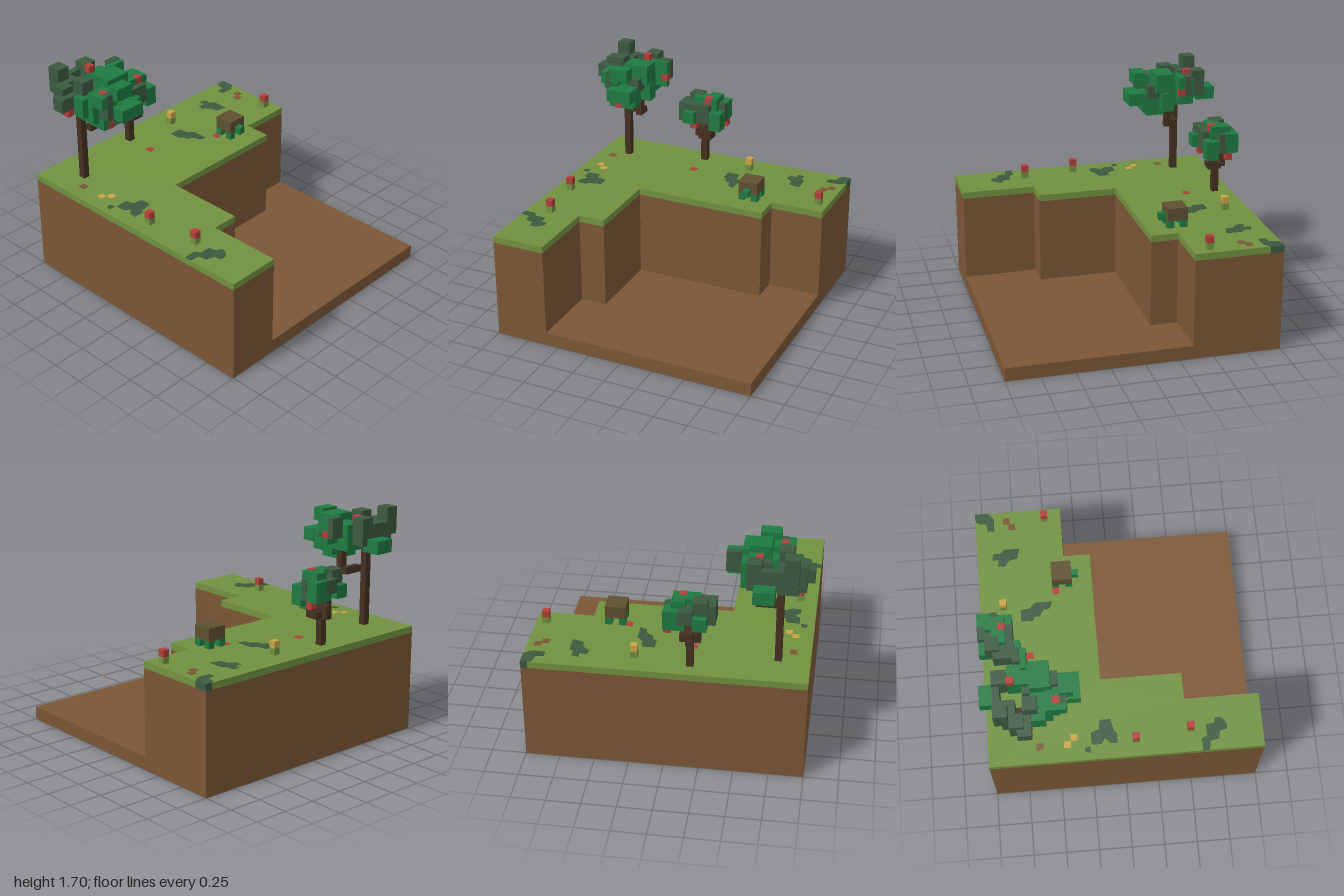
import * as THREE from 'three';

const mat = (name, color) => Object.assign(new THREE.MeshStandardMaterial({ color }), { name });

export function createModel() {
  const root = new THREE.Group();
  root.name = 'blockLandscape';
  const grass = mat('grass green', 0x70913f), dirt = mat('dirt brown', 0x7b5635);
  const bark = mat('bark', 0x453020), shell = mat('shell brown', 0x5e5030);
  const leaf = mat('leaf green', 0x1f7a42), dark = mat('dark green', 0x3b5a40);
  const red = mat('red', 0xb23e3a), yellow = mat('yellow', 0xc8a445);
  const U = 0.05; // block unit

  const group = (name) => {
    const g = new THREE.Group();
    g.name = name;
    root.add(g);
    return g;
  };
  // Box from its minimum corner and size, in block units
  const block = (parent, name, material, [x, y, z, w, h, d], inset = 0) => {
    const m = new THREE.Mesh(
      new THREE.BoxGeometry(w * U - 2 * inset, h * U - 2 * inset, d * U - 2 * inset), material);
    m.position.set((x + w / 2) * U, (y + h / 2) * U, (z + d / 2) * U);
    m.name = name;
    parent.add(m);
  };
  // Outline given as [x, z] pairs, raised from y by a height
  const slab = (parent, name, material, pts, y, height) => {
    const shape = new THREE.Shape(pts.map(([x, z]) => new THREE.Vector2(x, -z)));
    const geo = new THREE.ExtrudeGeometry(shape, { depth: height, bevelEnabled: false });
    geo.rotateX(-Math.PI / 2);
    const m = new THREE.Mesh(geo, material);
    m.position.y = y;
    m.name = name;
    parent.add(m);
  };

  // Terrain: floor, stepped cliff and turf
  const terrain = group('terrain');
  const cliff = [[-1, -1], [1, -1], [1, -0.35], [0.6, -0.35], [0.6, -0.15], [-0.4, -0.15],
    [-0.4, 0.45], [-0.6, 0.45], [-0.6, 1], [-1, 1]];
  block(terrain, 'floor', dirt, [-20, 0, -20, 40, 2, 40]);
  slab(terrain, 'cliff', dirt, cliff, 0.1, 0.65);
  slab(terrain, 'turf', grass, cliff, 0.75, 0.05);

  // Dark grass patches
  const patches = [
    [[0.1, -0.7], [0.19, -0.7], [0.2, -0.63], [0.24, -0.59], [0.24, -0.46], [0.19, -0.48],
      [0.18, -0.53], [0.13, -0.56], [0.13, -0.6], [0.1, -0.61]],
    [[0.61, -0.89], [0.66, -0.88], [0.66, -0.82], [0.69, -0.8], [0.69, -0.68], [0.61, -0.7],
      [0.6, -0.76], [0.55, -0.8], [0.56, -0.85], [0.61, -0.84]],
    [[0.95, -1], [1, -1], [1, -0.9], [0.95, -0.86], [0.85, -0.86], [0.85, -0.91],
      [0.91, -0.92], [0.92, -0.98]],
    [[-0.89, -0.25], [-0.8, -0.25], [-0.78, -0.19], [-0.71, -0.18], [-0.71, -0.1], [-0.8, -0.08],
      [-0.82, -0.06], [-0.89, -0.06], [-0.89, -0.11], [-0.85, -0.15], [-0.89, -0.18]],
    [[-0.94, -0.3], [-0.91, -0.3], [-0.9, -0.26], [-0.95, -0.26]],
    [[-1, 0.55], [-0.91, 0.55], [-0.89, 0.59], [-0.81, 0.59], [-0.8, 0.65], [-0.76, 0.66],
      [-0.76, 0.7], [-0.8, 0.74], [-0.85, 0.74], [-0.86, 0.69], [-0.92, 0.67], [-0.93, 0.61],
      [-1, 0.6]],
  ];
  for (const p of patches) slab(terrain, 'grassPatch', dark, p, 0.8, 0.003);
  block(terrain, 'patchSide', dark, [19.96, 15, -20, 0.08, 1, 2]);
  block(terrain, 'patchBack', dark, [19, 15, -20.04, 1, 1, 0.08]);

  // Fallen leaves lying on the turf
  const litter = [[red, 6, -9], [yellow, -18, -9], [yellow, -17, -8], [dirt, -18, -13],
    [dirt, 18, -15.8], [dirt, 17, -15], [red, -4, -13.5]];
  for (const [m, x, z] of litter) block(terrain, 'fallenLeaf', m, [x, 16, z, 1, 0.08, 1]);

  // Flowers
  for (const [m, x, z] of [[red, -18, 1], [red, -17, 9], [red, 18, -10], [yellow, 4, -17]]) {
    const flower = group('flower');
    block(flower, 'stem', grass, [x, 16, z, 1, 1, 1]);
    block(flower, 'bloom', m, [x, 17, z, 1, 1, 1]);
  }

  // Small shelled animal
  const animal = group('turtle');
  block(animal, 'shell', shell, [7, 17.1, -9, 3, 1.9, 3]);
  block(animal, 'head', leaf, [8, 17, -6, 1, 1, 1]);
  for (const x of [7, 9]) for (const z of [-9, -7]) block(animal, 'leg', leaf, [x, 16, z, 1, 1.1, 1]);

  // Trees: wood, two leaf tones and fruit
  const tree = (name, wood, light, shade, fruit) => {
    const g = group(name);
    wood.forEach((b) => block(g, 'wood', bark, b));
    light.forEach((b, i) => block(g, 'leaves', leaf, b, 0.0015 + 0.0002 * i));
    shade.forEach((b) => block(g, 'darkLeaves', dark, b));
    fruit.forEach((b) => block(g, 'fruit', red, [...b, 1, 1, 1], -0.001));
  };

  tree('tallTree',
    [[-16, 16, -15, 1, 12, 1], [-15, 24, -14, 3, 1, 1], [-13, 24, -13, 1, 4, 1]],
    [[-15, 28, -20, 3, 2, 3], [-18, 28, -13, 3, 3, 2], [-17, 27, -13, 5, 4, 3],
      [-16, 26, -12, 4, 3, 3], [-15, 28, -8, 4, 2, 2], [-15, 31, -9, 3, 2, 2],
      [-17, 30, -11, 3, 2, 3], [-13, 28, -16, 3, 4, 4], [-12, 27, -13, 2, 3, 2],
      [-11, 29, -14, 3, 4, 1], [-14, 30, -13, 4, 3, 3], [-14, 27, -10, 3, 3, 2]],
    [[-18, 30, -18, 2, 4, 2], [-18, 28, -17, 3, 4, 2], [-20, 29, -15, 3, 2, 2],
      [-19, 28, -16, 2, 4, 2], [-16, 29, -18, 3, 3, 1], [-13, 29, -18, 2, 4, 2],
      [-10, 30, -15, 2, 3, 1], [-17, 29, -14, 2, 4, 2], [-14, 28, -14, 2, 3, 2],
      [-13, 29, -11, 2, 2, 2], [-16, 28, -10, 1, 4, 2]],
    [[-16, 31, -10], [-19, 28, -14], [-15, 26, -10], [-9, 30, -14], [-13, 32, -16]]);

  tree('shortTree',
    [[-4, 16, -18, 1, 5, 1], [-5, 20, -18, 3, 1, 1], [-4, 20, -19, 1, 2, 3],
      [-5, 21, -18, 1, 3, 1], [-3, 21, -17, 1, 3, 1], [-3, 20, -17, 1, 1, 1]],
    [[-6, 23, -20, 2, 2, 2], [-3, 23, -20, 3, 3, 2], [-5, 24, -18, 3, 3, 2],
      [-6, 23, -16, 2, 2, 2], [-2, 22, -17, 2, 3, 2], [-3, 24, -19, 2, 3, 3]],
    [[-7, 23, -18, 2, 3, 3], [-6, 24, -19, 2, 3, 2], [-4, 24, -20, 2, 2, 2],
      [-5, 23, -17, 3, 3, 2], [-2, 23, -18, 2, 3, 1], [-6, 25, -17, 2, 1, 2],
      [-4, 23, -18, 2, 2, 2]],
    [[-5, 22, -16], [-3, 26, -17], [-1, 22, -19]]);

  return root;
}
